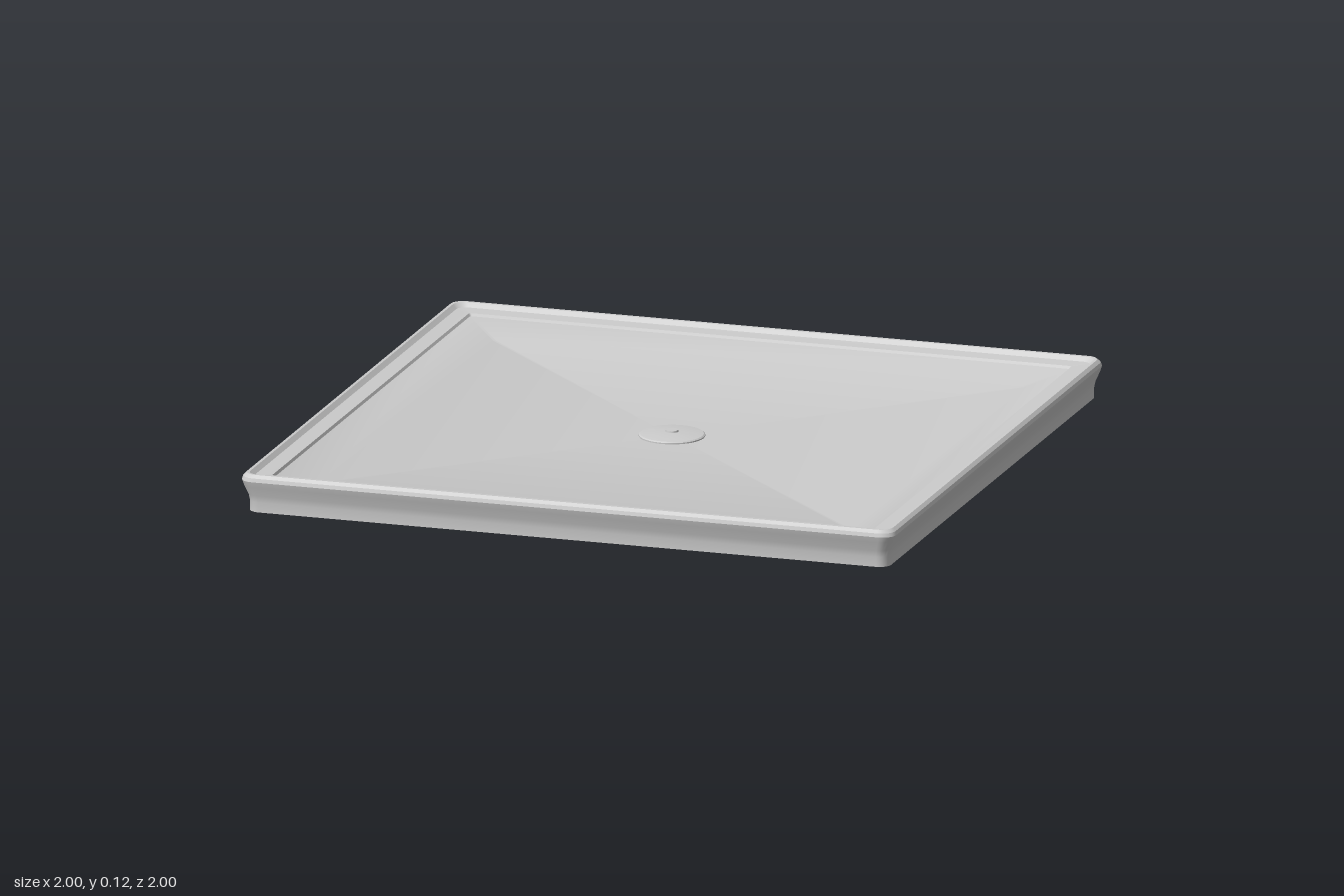
import * as THREE from 'three';
import { toCreasedNormals } from 'three/addons/utils/BufferGeometryUtils.js';

const CORNER_STEPS = 6;

// Rounded-square outline at height y
function ring(half, y, r) {
  const pts = [];
  for (let q = 0; q < 4; q++) {
    const mid = (q + 0.5) * Math.PI / 2;
    const cx = Math.sign(Math.cos(mid)) * (half - r);
    const cz = Math.sign(Math.sin(mid)) * (half - r);
    for (let k = 0; k <= CORNER_STEPS; k++) {
      const t = (q + k / CORNER_STEPS) * Math.PI / 2;
      pts.push(new THREE.Vector3(cx + r * Math.cos(t), y, cz + r * Math.sin(t)));
    }
  }
  return pts;
}

// Skin joining successive rings; the first and last rings are single points
function loft(rings) {
  const pos = [];
  const tri = (...vs) => vs.forEach((v) => pos.push(v.x, v.y, v.z));
  for (let i = 0; i < rings.length - 1; i++) {
    const lo = rings[i], hi = rings[i + 1], n = lo.length;
    for (let j = 0; j < n; j++) {
      const k = (j + 1) % n;
      if (i > 0) tri(lo[j], hi[j], lo[k]);
      if (i < rings.length - 2) tri(lo[k], hi[j], hi[k]);
    }
  }
  const geo = new THREE.BufferGeometry();
  geo.setAttribute('position', new THREE.Float32BufferAttribute(pos, 3));
  return toCreasedNormals(geo, 0.45);
}

export function createModel() {
  const group = new THREE.Group();
  const material = new THREE.MeshStandardMaterial({ color: 0xcccccc });
  const add = (name, geometry) => {
    const mesh = new THREE.Mesh(geometry, material);
    mesh.name = name;
    group.add(mesh);
  };

  // Tray section: [half width, height, corner radius], underside to floor
  const section = [
    [0, 0, 0],
    [0.98, 0, 0.035],
    [0.98, 0.03, 0.035],
    [0.984, 0.05, 0.037],
    [0.995, 0.078, 0.04],
    [1, 0.095, 0.042],
    [0.997, 0.106, 0.042],
    [0.988, 0.115, 0.038],
    [0.98, 0.114, 0.034],
    [0.968, 0.102, 0.028],
    [0.922, 0.099, 0.008],
    [0.918, 0.091, 0.006],
    [0.81, 0.056, 0.006],
    [0, 0.054, 0],
  ];
  add('tray', loft(section.map(([half, y, r]) => ring(half, y, r))));

  // Shallow domed drain cover
  const profile = [[0.097, 0.05], [0.097, 0.058], [0.093, 0.061], [0.06, 0.065], [0.02, 0.067], [0, 0.067]];
  const cover = new THREE.LatheGeometry(profile.map(([x, y]) => new THREE.Vector2(x, y)), 40);
  add('drainCover', toCreasedNormals(cover, 0.5));

  // Centre screw
  const screw = new THREE.CylinderGeometry(0.018, 0.02, 0.01, 24);
  screw.translate(0, 0.067, 0);
  add('drainScrew', screw);

  return group;
}
